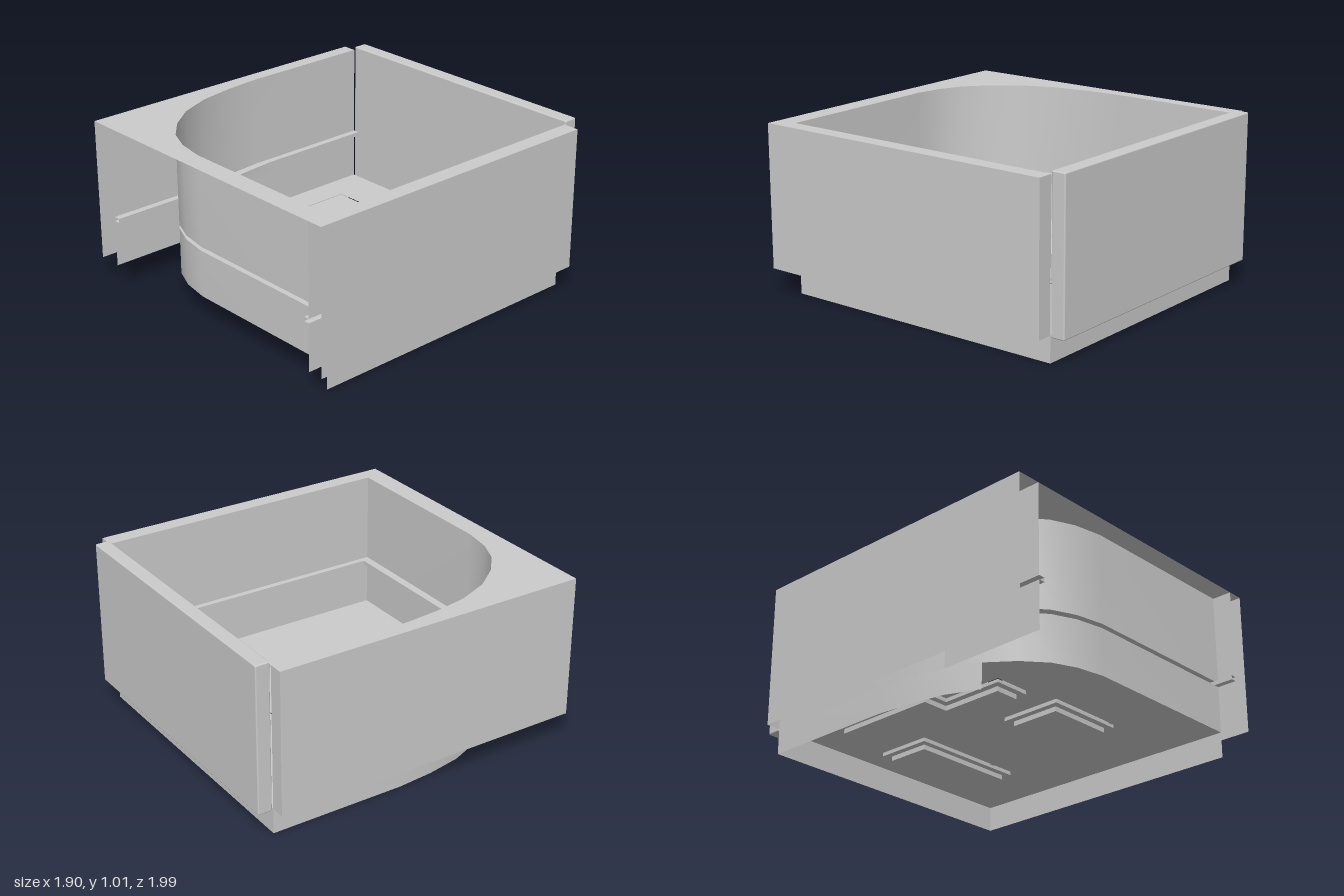
import * as THREE from 'three';
import { RoundedBoxGeometry } from 'three/addons/geometries/RoundedBoxGeometry.js';

const mat = new THREE.MeshStandardMaterial({ color: 0xcccccc, side: THREE.DoubleSide });
const TOP = 0.995, FLOOR = 0.15, BACK = -0.91, FRONT = 0.99;
const GROOVE = [0.43, 0.455];

// Plan paths are [x, z]. The liner curves round one front corner.
const liner = [[-0.865, BACK], [-0.865, -0.1], [-0.845, 0.12], [-0.805, 0.33], [-0.725, 0.52],
  [-0.61, 0.67], [-0.48, 0.78], [-0.34, 0.84], [-0.17, 0.87], [0.855, 0.87]];
const linerInset = [[-0.825, BACK], [-0.825, -0.17], [-0.8, 0.08], [-0.76, 0.28], [-0.69, 0.47],
  [-0.58, 0.62], [-0.45, 0.73], [-0.3, 0.79], [-0.13, 0.82], [0.855, 0.82]];

export function createModel() {
  const model = new THREE.Group();

  function add(name, geometry, parent = model) {
    const mesh = new THREE.Mesh(geometry, mat);
    mesh.name = name;
    parent.add(mesh);
    return mesh;
  }

  // Smooth strip between two plan paths at two heights
  function strip(name, a, ya, b, yb, parent) {
    const pos = [], idx = [];
    a.forEach((p, i) => {
      pos.push(p[0], ya, p[1], b[i][0], yb, b[i][1]);
      if (i) {
        const k = 2 * i;
        idx.push(k - 2, k, k - 1, k - 1, k, k + 1);
      }
    });
    const g = new THREE.BufferGeometry();
    g.setAttribute('position', new THREE.Float32BufferAttribute(pos, 3));
    g.setIndex(idx);
    g.computeVertexNormals();
    add(name, g, parent);
  }

  // Thin wall with a horizontal channel pressed towards the inset path
  function channelWall(name, path, inset) {
    const wall = new THREE.Group();
    wall.name = name;
    model.add(wall);
    const [g0, g1] = GROOVE;
    strip('lowerWall', path, FLOOR, path, g0, wall);
    strip('channelBottom', path, g0, inset, g0, wall);
    strip('channelFace', inset, g0, inset, g1, wall);
    strip('channelTop', inset, g1, path, g1, wall);
    strip('upperWall', path, g1, path, TOP, wall);
  }

  const toShape = pts => new THREE.Shape(pts.map(([x, z]) => new THREE.Vector2(x, -z)));
  function plate(name, shape, y) {
    const g = new THREE.ShapeGeometry(shape).rotateX(-Math.PI / 2);
    add(name, g).position.y = y;
  }
  function slab(name, pts, y0, y1) {
    const g = new THREE.ExtrudeGeometry(toShape(pts), { depth: y1 - y0, bevelEnabled: false });
    add(name, g.rotateX(-Math.PI / 2)).position.y = y0;
  }

  // Inner walls
  channelWall('curvedLiner', liner, linerInset);
  channelWall('leftLiner', [[0.855, BACK], [0.855, FRONT]], [[0.82, BACK], [0.82, FRONT]]);
  channelWall('rightFrontPartition', [[-0.805, 0.33], [-0.805, FRONT]], [[-0.765, 0.33], [-0.765, FRONT]]);

  // Outer side panels and the narrow strips closing them at the back
  for (const [side, s, inner] of [['left', 1, 0.855], ['right', -1, -0.865]]) {
    const sidePath = [[s * 0.95, BACK], [s * 0.95, FRONT]];
    const backPath = [[s * 0.95, BACK], [inner, BACK]];
    strip(side + 'SidePanel', sidePath, FLOOR, sidePath, TOP);
    strip(side + 'BackStrip', backPath, FLOOR, backPath, TOP);
  }

  // Top rim, open towards the back panel
  plate('topRim', toShape([...liner, [0.855, BACK], [0.95, BACK], [0.95, FRONT],
    [-0.95, FRONT], [-0.95, BACK]]), TOP);

  // Back panel
  add('backPanel', new RoundedBoxGeometry(1.725, 0.875, 0.085, 2, 0.008))
    .position.set(-0.003, 0.5775, -0.9575);

  // Recessed base skirt, open at the front
  const skirts = {
    rightSkirt: liner.slice(0, 5),
    leftSkirt: [[0.855, BACK], [0.855, 0.87]],
    backSkirt: [[-0.865, BACK], [0.855, BACK]],
  };
  for (const [name, path] of Object.entries(skirts)) strip(name, path, 0, path, FLOOR);

  // Floor with stepped pans hanging below it
  const rect = (x0, x1, z0, z1) => [[x0, z0], [x1, z0], [x1, z1], [x0, z1]];
  const stepped = d => [[-0.69 + d, -0.64 + d], [-0.52 - d, -0.64 + d], [-0.52 - d, -0.31 + d],
    [-0.31 - d, -0.31 + d], [-0.31 - d, 0.45 - d], [-0.53 + d, 0.45 - d],
    [-0.53 + d, 0.07 - d], [-0.69 + d, 0.07 - d]];
  const pans = {
    steppedPan: stepped,
    backPan: d => rect(-0.23 + d, 0.49 - d, -0.74 + d, -0.4 - d),
    frontPan: d => rect(-0.125 + d, 0.355 - d, 0.12 + d, 0.5 - d),
  };
  const floor = toShape([...liner, [0.855, BACK]]);
  for (const [name, outline] of Object.entries(pans)) {
    floor.holes.push(toShape(outline(0)));
    slab(name + 'Rim', outline(0), 0.128, FLOOR - 0.004);
    slab(name + 'Base', outline(0.037), 0.1, 0.128);
  }
  plate('floor', floor, FLOOR);

  return model;
}
